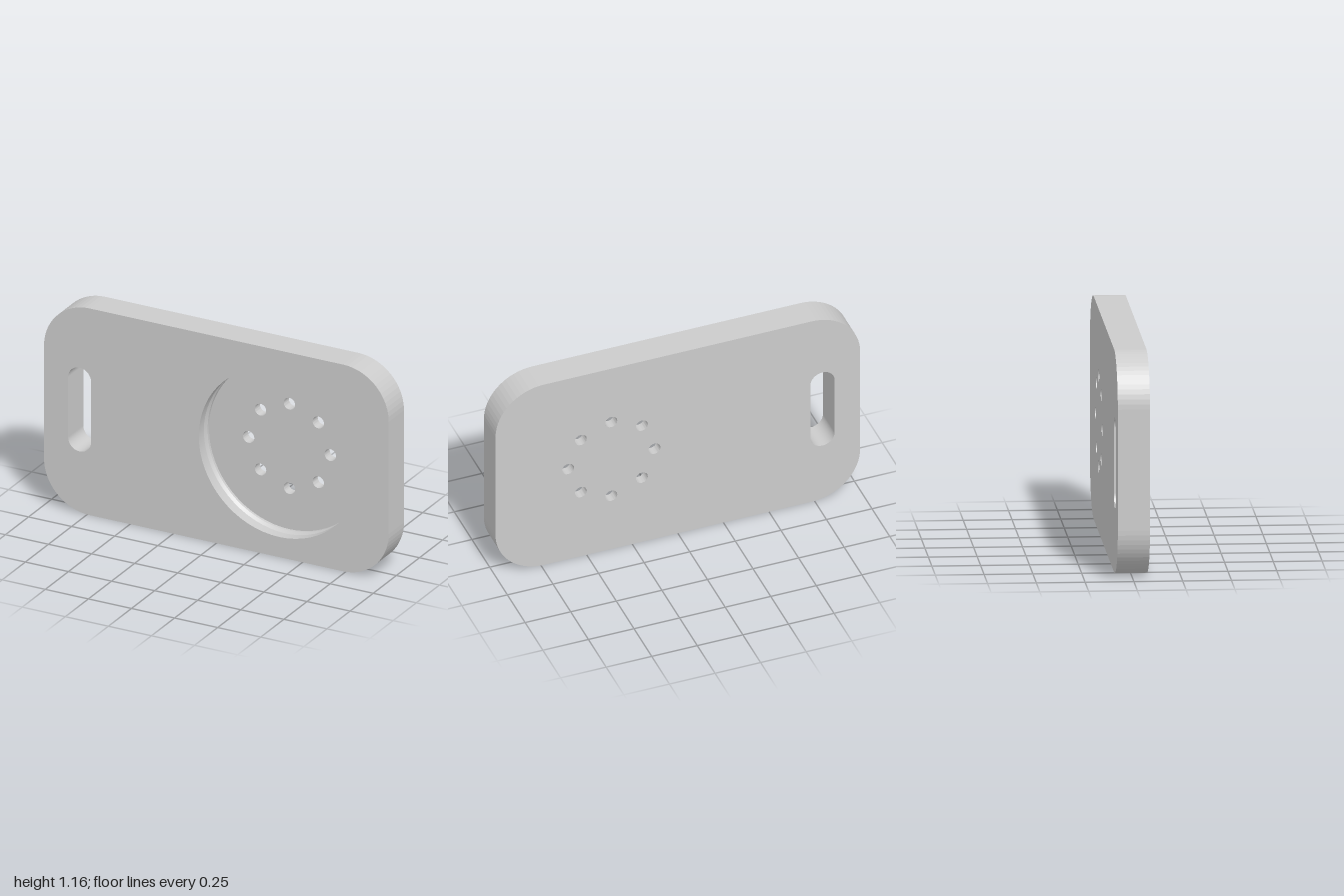
import * as THREE from 'three';
import { toCreasedNormals } from 'three/addons/utils/BufferGeometryUtils.js';

const HEIGHT = 1.16, FRONT = 0.0825, BACK = -0.0825, FLOOR = -0.0275;
const CX = 0.365, CY = 0.58, RECESS_R = 0.467;

// Rounded rectangle traced counter-clockwise
function roundedRect(x0, y0, x1, y1, r) {
  const s = new THREE.Shape();
  s.absarc(x1 - r, y0 + r, r, -Math.PI / 2, 0);
  s.absarc(x1 - r, y1 - r, r, 0, Math.PI / 2);
  s.absarc(x0 + r, y1 - r, r, Math.PI / 2, Math.PI);
  s.absarc(x0 + r, y0 + r, r, Math.PI, Math.PI * 1.5);
  s.closePath();
  return s;
}

function circle(x, y, r) {
  return new THREE.Shape().absarc(x, y, r, 0, Math.PI * 2);
}

// Wall swept along z from a closed loop; inward walls line a hole
function wall(shape, divisions, z0, z1, inward = false) {
  const pts = shape.getPoints(divisions);
  if (inward) pts.reverse();
  const v = [];
  pts.forEach((p, i) => {
    const q = pts[(i + 1) % pts.length];
    if (p.distanceTo(q) < 1e-6) return;
    v.push(p.x, p.y, z0, q.x, q.y, z0, q.x, q.y, z1);
    v.push(p.x, p.y, z0, q.x, q.y, z1, p.x, p.y, z1);
  });
  const g = new THREE.BufferGeometry();
  g.setAttribute('position', new THREE.Float32BufferAttribute(v, 3));
  g.computeVertexNormals();
  return g;
}

// Flat face with holes, at depth z, facing front or back
function face(shape, holes, divisions, z, facesBack = false) {
  const s = shape.clone();
  s.holes = holes;
  const g = new THREE.ShapeGeometry(s, divisions);
  if (facesBack) {
    const idx = g.index.array;
    for (let i = 0; i < idx.length; i += 3) [idx[i], idx[i + 1]] = [idx[i + 1], idx[i]];
    g.computeVertexNormals();
  }
  return g.translate(0, 0, z);
}

export function createModel() {
  const group = new THREE.Group();
  const material = new THREE.MeshStandardMaterial({ color: 0xcccccc });
  const add = (name, geometry) => {
    const mesh = new THREE.Mesh(geometry, material);
    mesh.name = name;
    group.add(mesh);
  };

  const outline = roundedRect(-1, 0, 1, HEIGHT, 0.265);
  const slot = roundedRect(-0.86, 0.345, -0.727, 0.815, 0.0664);
  const recess = circle(CX, CY, RECESS_R);
  const holes = [];
  for (let i = 0; i < 8; i++) {
    const a = (i * Math.PI) / 4;
    holes.push(circle(CX + 0.237 * Math.cos(a), CY + 0.237 * Math.sin(a), 0.033));
  }

  // Plate faces and rim
  add('plateRim', wall(outline, 8, BACK, FRONT));
  add('plateFront', face(outline, [slot, recess], 32, FRONT));
  add('plateBack', face(outline, [slot, ...holes], 8, BACK, true));

  // Handle slot, cut right through
  add('handleSlot', wall(slot, 16, BACK, FRONT, true));

  // Round recess, with a shallow groove around its wall
  const profile = [
    [RECESS_R, FRONT], [RECESS_R, 0.03], [RECESS_R + 0.012, 0.015],
    [RECESS_R + 0.012, 0.005], [RECESS_R, -0.012], [RECESS_R, FLOOR],
  ].map(([r, z]) => new THREE.Vector2(r, z));
  const lathe = new THREE.LatheGeometry(profile, 64).rotateX(Math.PI / 2);
  add('recessWall', toCreasedNormals(lathe, 0.3).translate(CX, CY, 0));
  add('recessFloor', face(recess, holes, 32, FLOOR));

  // Ring of small holes through the recess floor
  holes.forEach((h) => add('floorHole', toCreasedNormals(wall(h, 24, BACK, FLOOR, true), 0.6)));

  return group;
}
